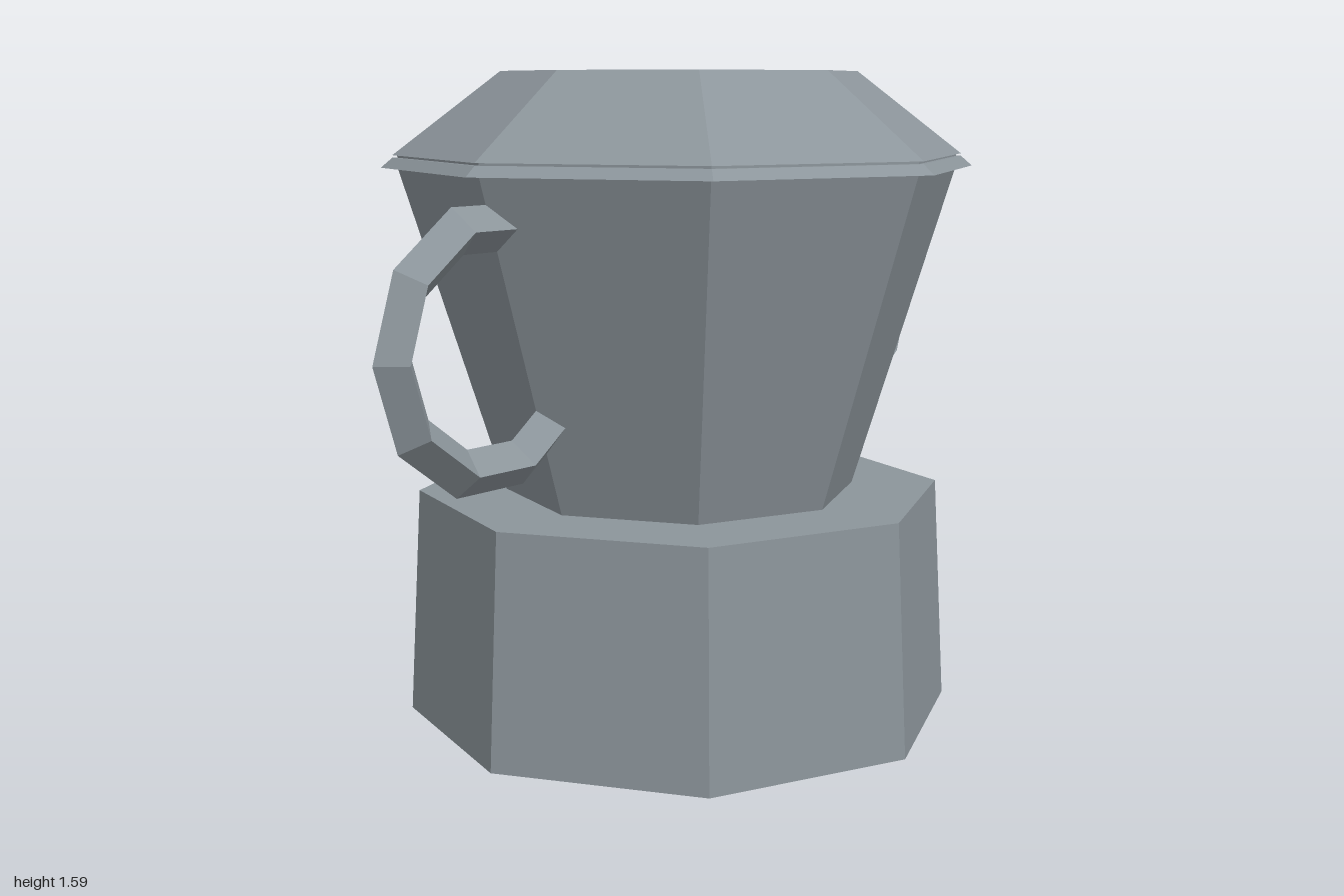
import * as THREE from 'three';

export function createModel() {
  const model = new THREE.Group();
  const metal = new THREE.MeshStandardMaterial({ color: 0x8c959b, flatShading: true });
  metal.name = 'grey metal';

  const add = (name, geometry) => {
    const mesh = new THREE.Mesh(geometry, metal);
    mesh.name = name;
    model.add(mesh);
    return mesh;
  };

  // Eight-sided solid from a [radius, height] profile, bottom to top
  const octagonal = (name, profile) =>
    add(name, new THREE.LatheGeometry(profile.map(([r, y]) => new THREE.Vector2(r, y)), 8));

  octagonal('base', [[0, 0], [0.68, 0], [0.65, 0.56], [0, 0.56]]);
  octagonal('cup', [[0, 0.55], [0.432, 0.55], [0.688, 1.365], [0, 1.365]]);

  // Lid with a thin groove above its rim
  octagonal('lid', [
    [0, 1.355], [0.725, 1.355], [0.697, 1.379], [0.685, 1.379],
    [0.685, 1.385], [0.697, 1.385], [0.435, 1.585], [0, 1.585],
  ]);

  // Ten-sided ring handles with a diamond section, sunk into the cup
  for (const side of [1, -1]) {
    const handle = add(side > 0 ? 'leftHandle' : 'rightHandle', new THREE.TorusGeometry(0.28, 0.055, 4, 10));
    handle.position.set(side * 0.665, 0.975, 0);
    handle.rotation.y = side > 0 ? 0 : Math.PI;
    handle.scale.z = 1.04;
  }
  return model;
}
